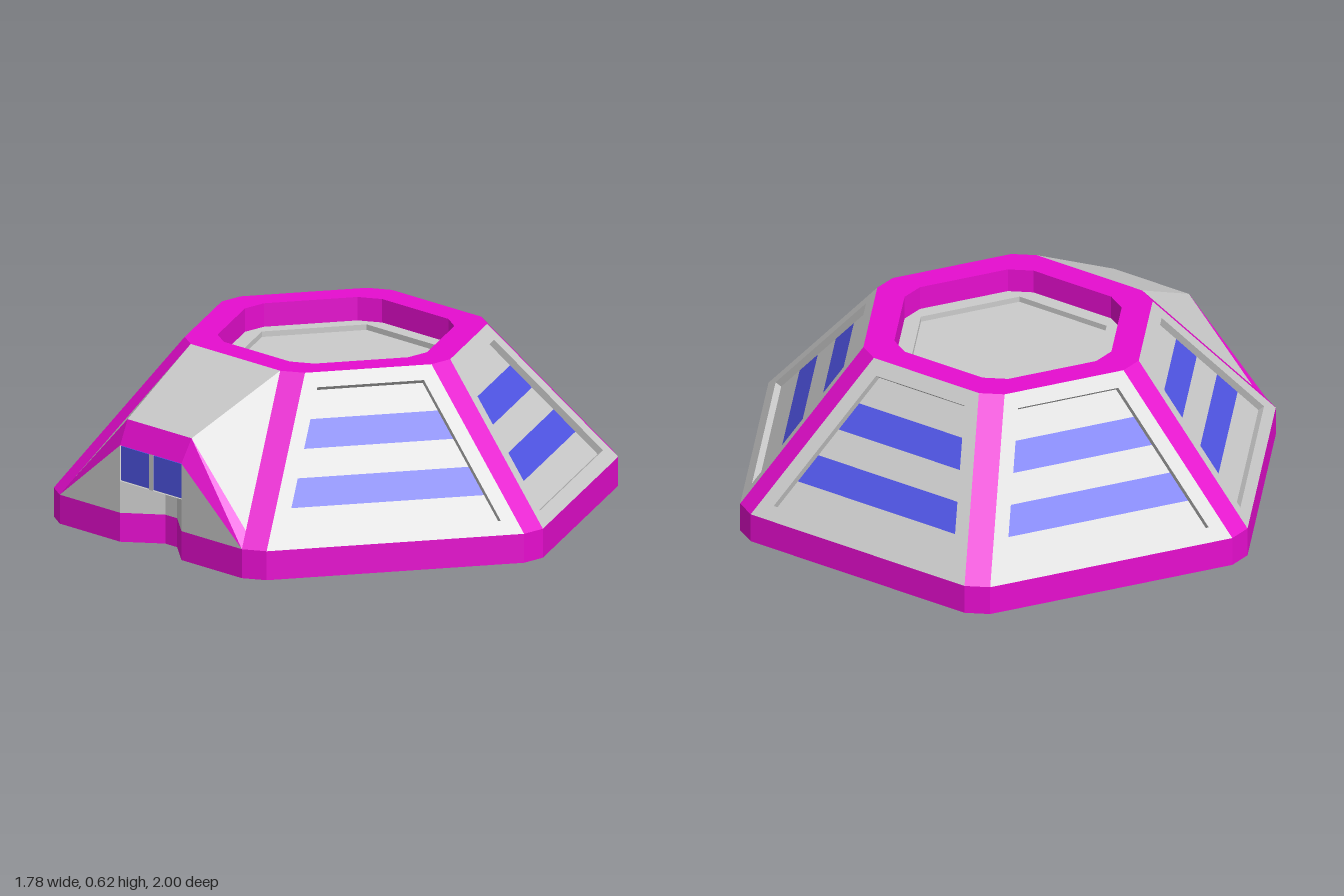
import * as THREE from 'three';

const mat = (color) => new THREE.MeshStandardMaterial({ color, flatShading: true, side: THREE.DoubleSide });
const GREY = mat(0xcccccc), MAGENTA = mat(0xe60dcf), BLUE = mat(0x5055e6);

const Y0 = 0.105, Y1 = 0.62;      // base top, roof top
const A0 = 0.888, A1 = 0.482;     // hexagon apothems at those heights
const W = 0.045;                  // half width of the cut corners
const apothemAt = (y) => A0 + (A1 - A0) * (y - Y0) / (Y1 - Y0);
const halfSide = (a) => a / Math.sqrt(3) - W / Math.cos(Math.PI / 6);
const cornerDist = (a) => 2 * a / Math.sqrt(3) - W / Math.sqrt(3);

// Flat polygons, each turned to face the point "eye"
function skin(name, material, polys, eye) {
  const pos = [];
  const e = new THREE.Vector3(...eye);
  for (const poly of polys) {
    const p = poly.map((c) => new THREE.Vector3(...c));
    const mid = p.reduce((s, v) => s.add(v), new THREE.Vector3()).divideScalar(p.length);
    const n = p[1].clone().sub(p[0]).cross(p[2].clone().sub(p[0]));
    if (n.dot(e.clone().sub(mid)) < 0) p.reverse();
    for (let i = 1; i < p.length - 1; i++) {
      for (const v of [p[0], p[i], p[i + 1]]) pos.push(v.x, v.y, v.z);
    }
  }
  const g = new THREE.BufferGeometry();
  g.setAttribute('position', new THREE.Float32BufferAttribute(pos, 3));
  g.computeVertexNormals();
  const mesh = new THREE.Mesh(g, material);
  mesh.name = name;
  return mesh;
}

// Hexagon outline with cut corners (or sharp ones) as 2D points
function hexagon(a, cut = true) {
  const pts = [];
  for (let k = 0; k < 6; k++) {
    const t = k * Math.PI / 3;
    const ends = cut ? [-halfSide(a), halfSide(a)] : [a / Math.sqrt(3)];
    for (const h of ends) {
      pts.push(new THREE.Vector2(a * Math.cos(t) - h * Math.sin(t), a * Math.sin(t) + h * Math.cos(t)));
    }
  }
  return pts;
}

// Horizontal slab between two heights
function slab(name, outline, hole, y0, y1, materials) {
  const shape = new THREE.Shape(outline);
  if (hole) shape.holes.push(new THREE.Path(hole));
  const g = new THREE.ExtrudeGeometry(shape, { depth: y1 - y0, bevelEnabled: false });
  g.rotateX(-Math.PI / 2).translate(0, y0, 0);
  const mesh = new THREE.Mesh(g, materials);
  mesh.name = name;
  return mesh;
}

// Sloping side facing +x: frame, recess walls and striped recess floor
function sidePanel() {
  const group = new THREE.Group();
  group.name = 'sidePanel';
  const slope = new THREE.Vector2(Y1 - Y0, A0 - A1).normalize();
  const depth = 0.025, margin = 0.056;
  const point = (y, h, d = 0) => [apothemAt(y) - slope.x * d, y - slope.y * d, h];
  const trapezoid = (ya, yb, m, d) => {
    const ha = halfSide(apothemAt(ya)) - m, hb = halfSide(apothemAt(yb)) - m;
    return [point(ya, ha, d), point(yb, hb, d), point(yb, -hb, d), point(ya, -ha, d)];
  };
  const yLow = 0.147, yHigh = 0.575;
  const outer = trapezoid(Y0, Y1, 0, 0);
  const rim = trapezoid(yLow, yHigh, margin, 0);
  const floor = trapezoid(yLow, yHigh, margin, depth);
  const ring = (a, b) => a.map((p, i) => [p, a[(i + 1) % 4], b[(i + 1) % 4], b[i]]);
  const out = [3, 2, 0];
  group.add(skin('panelFrame', GREY, ring(outer, rim), out));
  group.add(skin('recessWalls', GREY, ring(rim, floor), point(0.36, 0, depth / 2)));
  const cuts = [yLow, 0.234, 0.32, 0.405, 0.491, yHigh];
  const bands = cuts.slice(1).map((y, i) => trapezoid(cuts[i], y, margin, depth));
  group.add(skin('recessFloor', GREY, bands.filter((_, i) => i % 2 === 0), out));
  group.add(skin('stripes', BLUE, bands.filter((_, i) => i % 2 === 1), out));
  return group;
}

// Entrance notch in plan, on the +x side
const NOTCH = { half: 0.155, innerX: 0.79, innerHalf: 0.03 };

// Projecting entrance with a roof, slanted frame, windows and recess
function entrance() {
  const group = new THREE.Group();
  group.name = 'entrance';
  const sill = 0.22, head = 0.35, xb = 0.846, yb = 0.435;
  const yc = Y0 + (A0 - xb) * (Y1 - Y0) / (A0 - A1);
  const A = (s) => [A1, Y1, s * halfSide(A1)];
  const B = (s) => [xb, yb, s * 0.162];
  const C = (s) => [xb, yc, s * halfSide(xb)];
  const D = (s) => [A0, Y0, s * halfSide(A0)];
  const E = (s) => [A0, head, s * NOTCH.half];
  const F = (s, y) => [A0, y, s * NOTCH.half];
  const G = (s, y) => [NOTCH.innerX, y, s * NOTCH.innerHalf];
  group.add(skin('entranceRoof', GREY, [[A(1), A(-1), B(-1), B(1)]], [3, 3, 0]));
  group.add(skin('frameTop', MAGENTA, [[B(1), B(-1), E(-1), E(1)]], [3, 2, 0]));
  for (const s of [1, -1]) {
    group.add(skin('entranceCheek', GREY, [[A(s), B(s), C(s)]], [3, 2, 3 * s]));
    group.add(skin('frameSide', MAGENTA, [[B(s), C(s), D(s)], [B(s), D(s), E(s)]], [3, 2, 3 * s]));
    group.add(skin('entranceFront', GREY, [[D(s), E(s), F(s, Y0)]], [3, 0.2, 0]));
    group.add(skin('recessSide', GREY, [[F(s, Y0), F(s, sill), G(s, sill), G(s, Y0)]], [1, 0.15, 0]));
    const pane = new THREE.Mesh(new THREE.BoxGeometry(0.01, head - sill - 0.006, NOTCH.half - 0.01), BLUE);
    pane.position.set(A0 - 0.008, (sill + head) / 2, s * (NOTCH.half + 0.01) / 2);
    pane.name = 'windowPane';
    group.add(pane);
  }
  group.add(skin('recessBack', GREY, [[G(1, Y0), G(1, sill), G(-1, sill), G(-1, Y0)]], [1, 0.15, 0]));
  group.add(skin('windowUnderside', GREY, [[F(1, sill), F(-1, sill), G(-1, sill), G(1, sill)]], [0.85, 0, 0]));
  const back = new THREE.Mesh(new THREE.BoxGeometry(0.008, head - sill, 2 * NOTCH.half), GREY);
  back.position.set(A0 - 0.012, (sill + head) / 2, 0);
  back.name = 'windowFrame';
  const mullion = new THREE.Mesh(new THREE.BoxGeometry(0.014, head - sill, 0.02), GREY);
  mullion.position.set(A0 - 0.007, (sill + head) / 2, 0);
  mullion.name = 'windowMullion';
  group.add(back, mullion);
  group.rotation.y = Math.PI;
  return group;
}

export function createModel() {
  const model = new THREE.Group();
  model.name = 'hexagonalBuilding';

  // Base plinth, notched at the entrance on the -x side
  const plan = hexagon(A0);
  const { half, innerX, innerHalf } = NOTCH;
  const notch = [[-A0, half], [-innerX, innerHalf], [-innerX, -innerHalf], [-A0, -half]];
  plan.splice(7, 0, ...notch.map((p) => new THREE.Vector2(...p)));
  model.add(slab('basePlinth', plan, null, 0, Y0, [GREY, MAGENTA]));

  // Corner ribs and side panels
  const r0 = cornerDist(A0), r1 = cornerDist(A1);
  for (let k = 0; k < 6; k++) {
    const rib = skin('cornerRib', MAGENTA, [[[-W, Y0, r0], [W, Y0, r0], [W, Y1, r1], [-W, Y1, r1]]], [0, 2, 3]);
    rib.rotation.y = k * Math.PI / 3;
    model.add(rib);
    if (k === 3) continue;
    const panel = sidePanel();
    panel.rotation.y = k * Math.PI / 3;
    model.add(panel);
  }
  model.add(entrance());

  // Roof ring and sunken roof floor
  const floorY = 0.535;
  model.add(slab('roofRing', hexagon(A1), hexagon(0.38), floorY - 0.03, Y1, MAGENTA));
  model.add(slab('roofFloorBorder', hexagon(0.39), hexagon(0.325, false), floorY - 0.025, floorY, GREY));
  model.add(slab('roofFloor', hexagon(0.34, false), null, floorY - 0.04, floorY - 0.02, GREY));
  return model;
}
